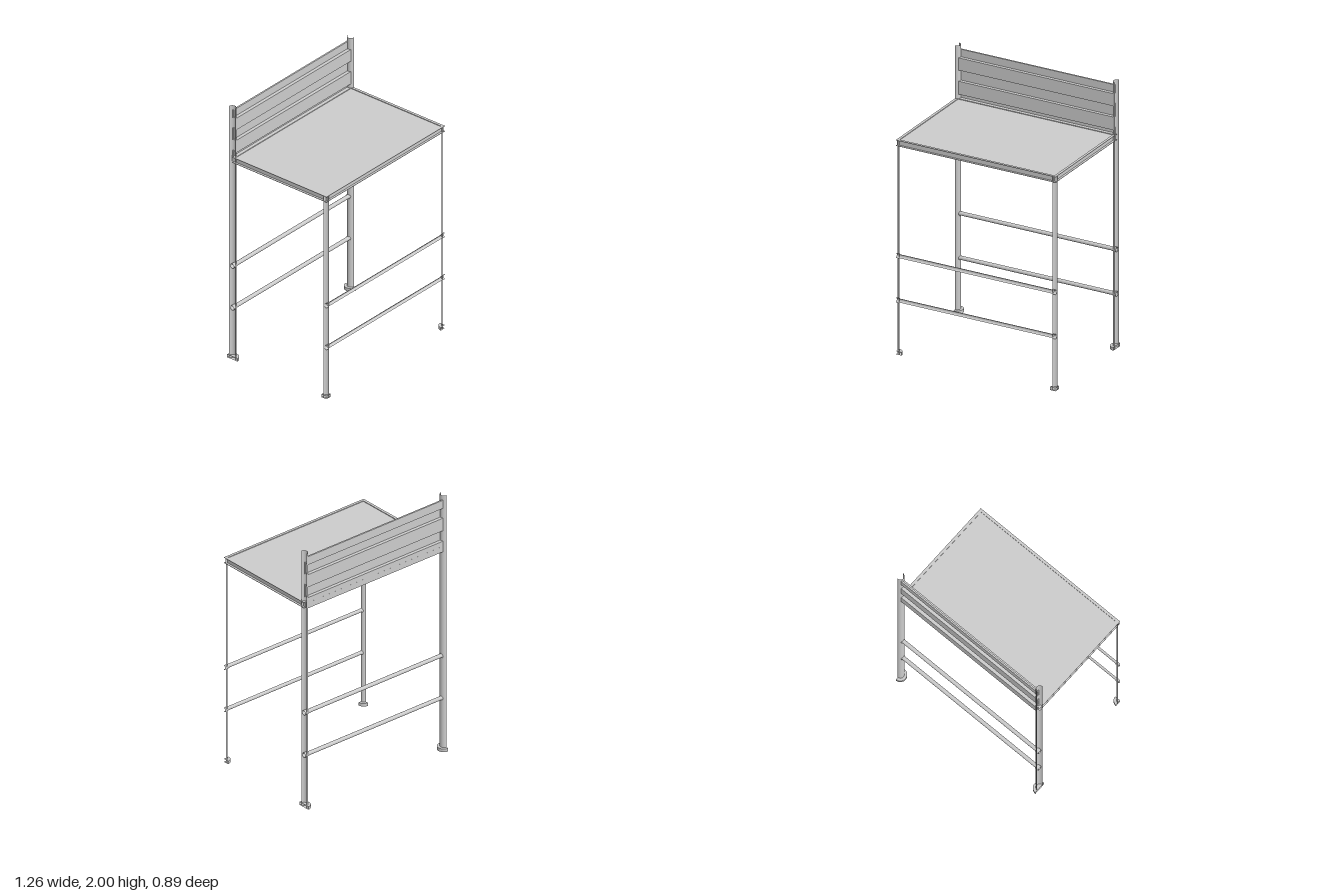
import * as THREE from 'three';

const mat = new THREE.MeshStandardMaterial({ color: 0xcccccc, side: THREE.DoubleSide });
const X = 0.631, FRONT = 0.444, BACK = -0.398;

export function createModel() {
  const group = new THREE.Group();

  const add = (name, geo, x, y, z) => {
    const m = new THREE.Mesh(geo, mat);
    m.name = name;
    m.position.set(x, y, z);
    group.add(m);
    return m;
  };
  const box = (name, w, h, d, x, y, z) => add(name, new THREE.BoxGeometry(w, h, d), x, y, z);

  // Upright arc-section tube or disc, standing on y0
  const upright = (name, r, h, open, x, y0, z, start, sweep) =>
    add(name, new THREE.CylinderGeometry(r, r, h, 20, 1, open, start, sweep), x, y0 + h / 2, z);

  // Tube lying along x
  const rail = (name, r, len, x, y, z, start, sweep) => {
    const g = new THREE.CylinderGeometry(r, r, len, 16, 1, true, start, sweep);
    g.rotateZ(Math.PI / 2);
    return add(name, g, x, y, z);
  };

  // Posts and feet: half-round at the back, quarter-round at the front, open outwards
  for (const s of [-1, 1]) {
    const side = s > 0 ? 'left' : 'right';
    const backStart = s < 0 ? 0 : Math.PI;
    const frontStart = s < 0 ? Math.PI / 2 : Math.PI;
    upright(side + 'BackPost', 0.0275, 2, true, s * X, 0, BACK, backStart, Math.PI);
    upright(side + 'BackFoot', 0.047, 0.024, false, s * X, 0, BACK, backStart, Math.PI);
    upright(side + 'FrontPost', 0.025, 1.6, true, s * X, 0, FRONT, frontStart, Math.PI / 2);
    upright(side + 'FrontFoot', 0.045, 0.024, false, s * X, 0, FRONT, frontStart, Math.PI / 2);
  }

  // Horizontal rails with end sleeves: half tubes in front, full tubes behind
  for (const y of [0.408, 0.74]) {
    for (const [label, z, start, sweep] of [
      ['front', FRONT, Math.PI / 2, Math.PI],
      ['back', BACK, 0, Math.PI * 2],
    ]) {
      rail(label + 'Rail', 0.0145, X * 2, 0, y, z, start, sweep);
      for (const s of [-1, 1]) rail(label + 'RailSleeve', 0.018, 0.028, s * (X - 0.014), y, z, start, sweep);
    }
  }

  // Table frame: thin channels open to the outside
  const t = 0.003, top = 1.604, bottom = 1.56, mid = (top + bottom) / 2, deep = 0.018;
  const len = FRONT - BACK, zMid = (FRONT + BACK) / 2;
  for (const s of [-1, 1]) {
    box('sideBeamWeb', t, top - bottom, len, s * (X - deep), mid, zMid);
    for (const y of [top - t / 2, bottom + t / 2])
      box('sideBeamFlange', deep, t, len, s * (X - deep / 2), y, zMid);
  }
  box('frontBeamWeb', X * 2, top - bottom, t, 0, mid, FRONT - deep);
  for (const y of [top - t / 2, bottom + t / 2])
    box('frontBeamFlange', X * 2, t, deep, 0, y, FRONT - deep / 2);
  box('backBeam', X * 2 - 0.04, top - bottom, 0.036, 0, mid, BACK);

  // Table top
  box('tableTop', (X - deep) * 2, 0.01, len - deep - 0.01, 0, 1.594, zMid - deep / 2 + 0.005);

  // Back panel: a sheet stepping in and out in horizontal bands
  const levels = [1.605, 1.64, 1.73, 1.82, 1.905, 1.965];
  const w = 0.006;
  const frontSide = [], backSide = [];
  for (let i = 0; i < levels.length - 1; i++) {
    const forward = i % 2 === 1;
    const z = forward ? -0.386 : -0.411;
    // small offsets keep the stepped sheet joined between bands
    const grow = forward ? 0.004 : -0.004;
    const lo = levels[i] - (i ? grow : 0);
    const hi = levels[i + 1] + (i < levels.length - 2 ? grow : 0);
    frontSide.push([z + w, lo], [z + w, hi]);
    const lo2 = levels[i] + (i ? grow : 0);
    const hi2 = levels[i + 1] - (i < levels.length - 2 ? grow : 0);
    backSide.push([z - w, lo2], [z - w, hi2]);
  }
  const shape = new THREE.Shape(
    [...frontSide, ...backSide.reverse()].map(([z, y]) => new THREE.Vector2(-z, y)));
  const panelWidth = 1.22;
  const panel = new THREE.ExtrudeGeometry(shape, { depth: panelWidth, bevelEnabled: false });
  panel.rotateY(Math.PI / 2);
  add('backPanel', panel, -panelWidth / 2, 0, 0);

  return group;
}
